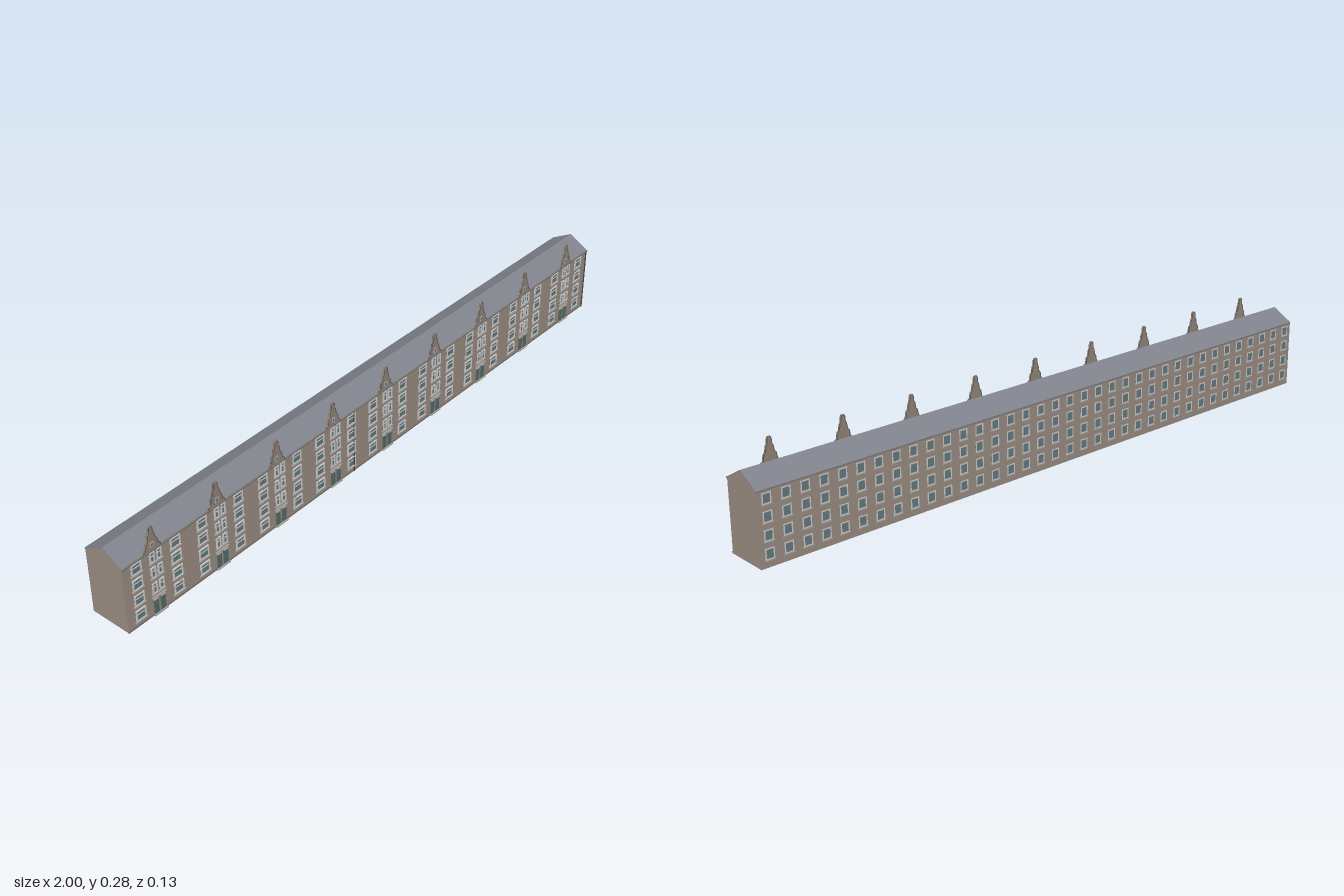
import * as THREE from 'three';
import { mergeGeometries } from 'three/addons/utils/BufferGeometryUtils.js';

const FRONT = 0.062, BACK = -0.0655, EAVES = 0.205, RIDGE = 0.242;
const FLOORS = [0.036, 0.085, 0.134, 0.182];
const UNITS = 9, PITCH = 0.222, FIRST = -0.901;

const mat = (color) => new THREE.MeshStandardMaterial({ color, flatShading: true, roughness: 0.9 });

function box(w, h, d, x, y, z) {
  return new THREE.BoxGeometry(w, h, d).translate(x, y, z);
}

// Extrudes an outline of [x, y] points
function plate(points, depth) {
  const shape = new THREE.Shape(points.map(([x, y]) => new THREE.Vector2(x, y)));
  return new THREE.ExtrudeGeometry(shape, { depth, bevelEnabled: false });
}

export function createModel() {
  const group = new THREE.Group();
  const parts = {
    walls: [], roof: [], gables: [], copings: [], windowFrames: [], glass: [],
    sills: [], doors: [], bands: [], drainpipes: [],
  };
  const colors = {
    walls: 0x9c8e83, roof: 0x80838c, gables: 0x94867b, copings: 0x67605b, windowFrames: 0xc4c6c2,
    glass: 0x667a80, sills: 0xaaa39b, doors: 0x566e69, bands: 0x81776f, drainpipes: 0x4b4643,
  };

  // A framed window: side is 1 on the front, -1 on the back
  function addWindow(x, y, w, h, side, depth, bars) {
    const wall = side > 0 ? FRONT : BACK, t = 0.0035;
    const z = wall + (side * depth) / 2;
    parts.glass.push(box(w, h, depth * 0.4, x, y, wall + side * depth * 0.2));
    for (const s of [-1, 1]) {
      parts.windowFrames.push(box(t, h, depth, x + (s * (w - t)) / 2, y, z));
      parts.windowFrames.push(box(w - 2 * t, t, depth, x, y + (s * (h - t)) / 2, z));
    }
    if (bars) parts.windowFrames.push(box(w - 2 * t, 0.002, depth * 0.8, x, y + h * 0.12, wall + side * depth * 0.4));
    parts.sills.push(box(w + 0.006, 0.003, depth * 1.2, x, y - h / 2 - 0.0015, wall + side * depth * 0.6));
  }

  // Long block with pointed end walls
  const section = [[-FRONT, 0], [-BACK, 0], [-BACK, EAVES], [0, RIDGE - 0.001], [-FRONT, EAVES]];
  parts.walls.push(plate(section, 1.998).rotateY(Math.PI / 2).translate(-0.999, 0, 0));

  // Two-slope slate roof
  const slopes = [
    [-FRONT - 0.001, EAVES - 0.001], [0, RIDGE - 0.002], [-BACK + 0.0005, EAVES - 0.001],
    [-BACK + 0.0005, EAVES + 0.001], [0, RIDGE], [-FRONT - 0.001, EAVES + 0.001],
  ];
  parts.roof.push(plate(slopes, 2).rotateY(Math.PI / 2).translate(-1, 0, 0));

  // Cornice and base course along the front, eaves course along the back
  parts.bands.push(box(2, 0.004, 0.004, 0, EAVES - 0.002, FRONT + 0.002));
  parts.bands.push(box(2, 0.006, 0.0015, 0, 0.003, FRONT + 0.0007));
  parts.bands.push(box(2, 0.003, 0.001, 0, EAVES - 0.0015, BACK));

  // Stepped gable outline, half width against height
  const half = [[0.031, 0.2], [0.028, 0.212], [0.022, 0.216], [0.019, 0.232], [0.014, 0.238],
    [0.011, 0.254], [0.008, 0.259], [0.007, 0.272], [0.004, 0.278]];
  const mirrored = (list) => [...list, ...list.map(([x, y]) => [-x, y]).reverse()];

  for (let i = 0; i < UNITS; i++) {
    const c = FIRST + i * PITCH;

    // Gable with darker coping strips along both edges
    parts.gables.push(plate(mirrored(half), 0.004).translate(c, 0, 0.0605));
    const inner = half.map(([x, y]) => [x - 0.0025, y]);
    for (const s of [-1, 1]) {
      const strip = [...half, ...[...inner].reverse()].map(([x, y]) => [s * x, y]);
      parts.copings.push(plate(strip, 0.0055).translate(c, 0, 0.0598));
    }
    parts.windowFrames.push(box(0.012, 0.014, 0.001, c, 0.222, 0.0648));
    parts.glass.push(box(0.008, 0.010, 0.001, c, 0.222, 0.0653));

    // Front openings: wide windows either side of a narrow pair
    FLOORS.forEach((y, floor) => {
      addWindow(c - 0.055, y, 0.033, 0.034, 1, 0.004, true);
      addWindow(c + 0.075, y, 0.033, 0.034, 1, 0.004, true);
      if (floor > 0) {
        for (const dx of [-0.003, 0.02]) addWindow(c + dx, y, 0.016, 0.034, 1, 0.004, true);
      }
    });

    // Paired entrance doors under a lintel
    for (const dx of [-0.003, 0.02]) {
      parts.doors.push(box(0.016, 0.046, 0.002, c + dx, 0.025, FRONT + 0.001));
      parts.windowFrames.push(box(0.014, 0.007, 0.003, c + dx, 0.05, FRONT + 0.0015));
    }
    parts.sills.push(box(0.046, 0.003, 0.005, c + 0.0085, 0.056, FRONT + 0.0025));
    parts.sills.push(box(0.046, 0.003, 0.006, c + 0.0085, 0.0015, FRONT + 0.003));
  }

  // Regular grid of windows on the back
  const columns = UNITS * 4;
  for (let i = 0; i < columns; i++) {
    const x = -1 + ((i + 0.5) * 2) / columns;
    for (const y of FLOORS) addWindow(x, y, 0.027, 0.031, -1, 0.001, false);
  }

  // Drainpipes at the party wall and far corner
  for (const x of [-0.15, 0.995]) {
    parts.drainpipes.push(new THREE.CylinderGeometry(0.0022, 0.0022, EAVES, 6).translate(x, EAVES / 2, FRONT + 0.002));
  }

  for (const [name, list] of Object.entries(parts)) {
    const mesh = new THREE.Mesh(mergeGeometries(list.map((g) => (g.index ? g.toNonIndexed() : g))), mat(colors[name]));
    mesh.name = name;
    group.add(mesh);
  }
  group.name = 'terraceBuilding';
  return group;
}
